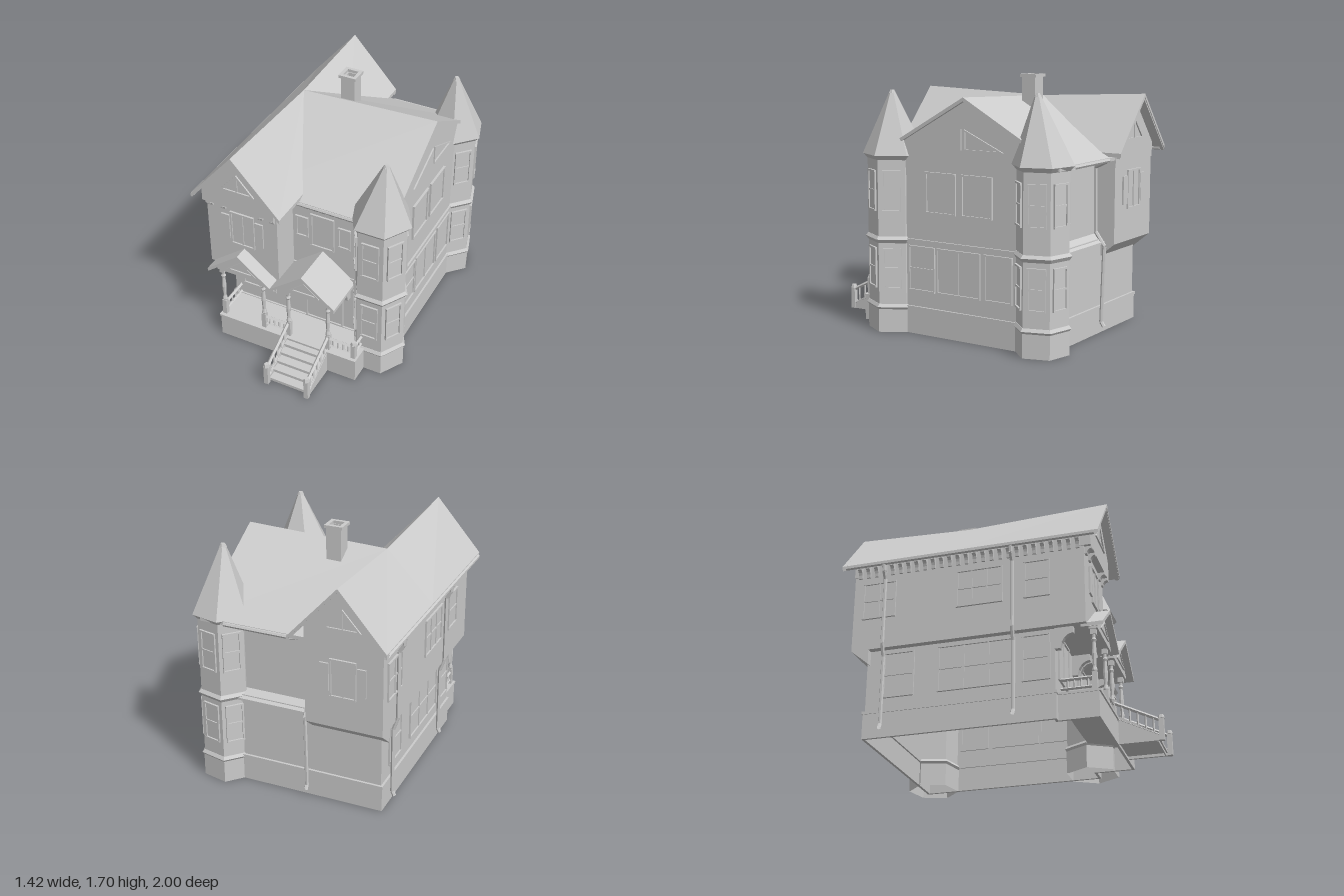
import * as THREE from 'three';

const mat = new THREE.MeshStandardMaterial({ color: 0xcccccc, flatShading: true });
const thin = new THREE.MeshStandardMaterial({ color: 0xcccccc, flatShading: true, side: THREE.DoubleSide });

export function createModel() {
  const house = new THREE.Group();
  house.name = 'house';

  const add = (name, geo, parent = house, m = mat) => {
    const mesh = new THREE.Mesh(geo, m);
    mesh.name = name;
    parent.add(mesh);
    return mesh;
  };
  // Box given by its extents
  const box = (name, x0, x1, y0, y1, z0, z1, parent) =>
    add(name, new THREE.BoxGeometry(x1 - x0, y1 - y0, z1 - z0)
      .translate((x0 + x1) / 2, (y0 + y1) / 2, (z0 + z1) / 2), parent);
  const shapeOf = pts => new THREE.Shape(pts.map(p => new THREE.Vector2(...p)));
  // Profile (x, y) swept from z0 to z1; alongX turns it so the profile is (-z, y)
  const prism = (name, pts, z0, z1, alongX = false) => {
    const g = new THREE.ExtrudeGeometry(shapeOf(pts), { depth: z1 - z0, bevelEnabled: false }).translate(0, 0, z0);
    if (alongX) g.rotateY(Math.PI / 2);
    return add(name, g);
  };
  // Hollow rectangular wall, open above and below
  const ringWall = (name, x0, x1, z0, z1, y0, y1, t = 0.02) => {
    const rect = d => [[x0 + d, -z1 + d], [x1 - d, -z1 + d], [x1 - d, -z0 - d], [x0 + d, -z0 - d]];
    const s = shapeOf(rect(0));
    s.holes.push(shapeOf(rect(t)));
    return add(name, new THREE.ExtrudeGeometry(s, { depth: y1 - y0, bevelEnabled: false })
      .rotateX(-Math.PI / 2).translate(0, y0, 0));
  };
  // Gabled roof slab through sections {z, l:[x,y], r:[x,y], top:[x,y]}
  const gableRoof = (name, sections, t, alongX = false) => {
    const pos = [], idx = [], n = sections.length - 1;
    for (const { z, l, r, top } of sections)
      for (const [p, d] of [[l, 0], [top, 0], [r, 0], [r, t], [top, t], [l, t]]) pos.push(p[0], p[1] - d, z);
    const quad = (a, b, c, d) => idx.push(a, b, c, a, c, d);
    for (let s = 0; s < n; s++)
      for (let i = 0; i < 6; i++) {
        const j = (i + 1) % 6, b = s * 6, f = b + 6;
        quad(b + i, f + i, f + j, b + j);
      }
    const f = n * 6;
    quad(f + 5, f + 4, f + 1, f); quad(f + 4, f + 3, f + 2, f + 1);
    quad(0, 1, 4, 5); quad(1, 2, 3, 4);
    const g = new THREE.BufferGeometry();
    g.setAttribute('position', new THREE.Float32BufferAttribute(pos, 3));
    g.setIndex(idx);
    if (alongX) g.rotateY(Math.PI / 2);
    const flat = g.toNonIndexed();
    flat.computeVertexNormals();
    return add(name, flat, house, thin);
  };
  // Framed window facing local +z
  const windowAt = (name, x, y, z, w, h, ry = 0, { cols = 1, rail = false, shutters = 0 } = {}) => {
    const g = new THREE.Group(), b = 0.012, u = w / 2, v = h / 2;
    g.name = name;
    g.position.set(x, y, z);
    g.rotation.y = ry;
    box('pane', -u, u, -v, v, -0.024, 0.003, g);
    for (const s of [-1, 1]) {
      box('jamb', s * u - b / 2, s * u + b / 2, -v, v, -0.03, 0.012, g);
      box('sill', -u - b / 2, u + b / 2, s * v - b / 2, s * v + b / 2, -0.03, 0.014, g);
      if (shutters) box('shutter', s * (u + 0.042) - 0.03, s * (u + 0.042) + 0.03, -shutters / 2, shutters / 2, -0.01, 0.012, g);
    }
    for (let i = 1; i < cols; i++) box('mullion', -u + i * w / cols - 0.006, -u + i * w / cols + 0.006, -v, v, -0.02, 0.01, g);
    if (rail) box('meetingRail', -u, u, -0.006, 0.006, -0.02, 0.01, g);
    house.add(g);
  };
  // Curved bracket under an overhang, top at y, growing along local +z
  const bracket = (x, y, z, w, h, d, ry = 0) => {
    const s = new THREE.Shape().moveTo(0, 0).lineTo(0, -h).lineTo(-d * 0.3, -h)
      .quadraticCurveTo(-d * 0.4, -h * 0.35, -d, -h * 0.3).lineTo(-d, 0);
    const g = new THREE.ExtrudeGeometry(s, { depth: w, bevelEnabled: false, curveSegments: 4 })
      .translate(0, 0, -w / 2).rotateY(Math.PI / 2).rotateY(ry).translate(x, y, z);
    add('bracket', g);
  };
  const bar = (name, a, b, r, sides = 4) => add(name, new THREE.TubeGeometry(
    new THREE.LineCurve3(new THREE.Vector3(...a), new THREE.Vector3(...b)), 1, r, sides), house, thin);

  // Ground floor walls and trim; the plinth is open towards the porch
  ringWall('lowerWalls', -0.605, 0.57, -0.82, 0.43, 0.165, 0.62);
  box('leftPlinth', -0.615, -0.597, 0, 0.165, -0.83, 0.437);
  box('rightPlinth', 0.56, 0.578, 0, 0.165, -0.83, 0.437);
  box('backPlinth', -0.597, 0.56, 0, 0.165, -0.83, -0.812);
  box('frontPlinthLeft', -0.597, -0.557, 0, 0.165, 0.419, 0.437);
  box('frontPlinthRight', 0.442, 0.56, 0, 0.165, 0.419, 0.437);
  ringWall('waterTable', -0.62, 0.583, -0.836, 0.443, 0.165, 0.185, 0.03);
  ringWall('floorBand', -0.615, 0.583, -0.83, 0.44, 0.61, 0.635, 0.03);

  // Upper floor: cross block and projecting wing, with their gables
  prism('crossBlock', [[-0.43, 0.6], [0.78, 0.6], [0.78, 1.2], [0.22, 1.505], [-0.43, 1.17]], -0.3, 0.57, true);
  prism('crossGable', [[-0.43, 1.1], [0.78, 1.1], [0.78, 1.232], [0.22, 1.547], [-0.43, 1.183]], 0.54, 0.575, true);
  prism('wingBlock', [[-0.65, 0.6], [-0.13, 0.6], [-0.13, 1.25], [-0.385, 1.51], [-0.65, 1.22]], -0.92, 0.64);
  const gable = [[-0.655, 1.135], [-0.13, 1.135], [-0.13, 1.268], [-0.385, 1.543], [-0.655, 1.235]];
  prism('frontGable', gable, 0.6, 0.685);
  prism('backGable', gable, -0.925, -0.88);
  prism('wingUnderside', [[0.8, 0.5], [0.92, 0.6], [0.8, 0.6]], -0.65, -0.13, true);
  prism('backPent', [[0.77, 0.6], [0.85, 0.6], [0.85, 0.615], [0.77, 0.67]], -0.13, 0.42, true);

  // Main roofs, with a slight sag in the ridge
  const wing = (z, y) => ({ z, l: [-0.7, 1.21], r: [-0.05, 1.21], top: [-0.385, y] });
  gableRoof('wingRoof', [wing(-1, 1.575), wing(-0.22, 1.54), wing(0.745, 1.575)], 0.025);
  for (const z of [-0.995, 0.715]) gableRoof('bargeBoard', [wing(z, 1.57), wing(z + 0.025, 1.57)], 0.035);
  const cross = (z, y) => ({ z, l: [-0.48, 1.18], r: [0.92, 1.18], top: [0.22, y] });
  gableRoof('crossRoof', [cross(-0.385, 1.54), cross(0.59, 1.575)], 0.025, true);

  // Gable windows
  const triangle = (pts, depth, hole) => {
    const s = shapeOf(pts);
    s.holes.push(shapeOf(hole));
    return new THREE.ExtrudeGeometry(s, { depth, bevelEnabled: false });
  };
  const wingTri = triangle([[-0.125, 0], [0.125, 0], [0, 0.14]], 0.02, [[-0.1, 0.01], [0.1, 0.01], [0, 0.122]]);
  add('frontGableWindow', wingTri.clone().translate(-0.385, 1.275, 0.675));
  box('frontGableMullion', -0.39, -0.38, 1.28, 1.4, 0.67, 0.692);
  add('backGableWindow', wingTri.clone().rotateY(Math.PI).translate(-0.385, 1.275, -0.915));
  box('backGableMullion', -0.39, -0.38, 1.28, 1.4, -0.932, -0.91);
  for (const s of [-1, 1]) {
    const p = [[0.01, 0], [0.31, 0], [0.01, 0.135]], h = [[0.02, 0.008], [0.275, 0.008], [0.02, 0.12]];
    const m = a => a.map(([x, y]) => [s * x, y]);
    add('sideGableWindow', triangle(m(p), 0.015, m(h)).rotateY(Math.PI / 2).translate(0.57, 1.24, -0.21));
  }

  // Chimney with an open flue
  ringWall('chimney', -0.132, -0.03, -0.37, -0.27, 1.35, 1.68, 0.018);
  ringWall('chimneyCap', -0.145, -0.02, -0.382, -0.26, 1.68, 1.7, 0.024);
  box('flueFloor', -0.12, -0.045, 1.58, 1.6, -0.36, -0.28);

  // Six-sided corner turrets of radius r
  const turret = (cx, cz, r, turn, topX, topZ, topY, faces) => {
    const start = Math.PI / 2 - turn;
    const hex = (name, r0, r1, y0, y1, open = false) => add(name,
      new THREE.CylinderGeometry(r + r1, r + r0, y1 - y0, 6, 1, open, start).translate(cx, (y0 + y1) / 2, cz), house, open ? thin : mat);
    hex('turretWall', 0, 0, 0, 1.18, true);
    hex('turretPlinth', 0.006, 0.006, 0, 0.165, true);
    hex('turretTrim', 0.006, 0.018, 0.155, 0.17); hex('turretTrim', 0.018, 0.003, 0.17, 0.19);
    hex('turretBand', 0.002, 0.02, 0.6, 0.625); hex('turretBand', 0.02, 0.002, 0.625, 0.645);
    hex('turretCornice', 0.002, 0.028, 1.15, 1.18);
    const roof = hex('turretRoof', 0.031, 0.018 - r, 1.18, topY), p = roof.geometry.attributes.position;
    for (let i = 0; i < p.count; i++)
      if (p.getY(i) > topY - 0.01) p.setXYZ(i, p.getX(i) + topX - cx, topY, p.getZ(i) + topZ - cz);
    add('turretFinial', new THREE.CylinderGeometry(0.014, 0.024, 0.022, 6).translate(topX, topY, topZ));
    for (const deg of faces) {
      const a = deg * Math.PI / 180, d = r * 0.866;
      for (const y of [0.43, 0.945])
        windowAt('turretWindow', cx + d * Math.cos(a), y, cz + d * Math.sin(a), 0.11, 0.26, Math.PI / 2 - a, { rail: true });
    }
  };
  turret(0.493, 0.4, 0.18, 0, 0.515, 0.395, 1.59, [-30, 30, 90, 150]);
  turret(0.515, -0.762, 0.17, 13 * Math.PI / 180, 0.515, -0.722, 1.605, [43, -17, -77, -137]);

  // Windows: front and back of the wing, then centre, right and left walls
  windowAt('wingWindow', -0.387, 0.945, 0.64, 0.165, 0.25, 0, { cols: 2, shutters: 0.19 });
  windowAt('wingWindow', -0.387, 0.945, -0.92, 0.165, 0.25, Math.PI, { cols: 2, shutters: 0.19 });
  windowAt('centreWindow', 0.09, 0.945, 0.43, 0.16, 0.25);
  for (const x of [-0.06, 0.25]) windowAt('smallWindow', x, 0.95, 0.43, 0.08, 0.15);
  windowAt('porchWindow', -0.405, 0.44, 0.43, 0.25, 0.3, 0, { cols: 2 });
  windowAt('frontDoor', 0.1, 0.39, 0.43, 0.27, 0.41);
  const R = Math.PI / 2;
  windowAt('sideWindow', 0.57, 0.44, 0.12, 0.2, 0.29, R, { rail: true });
  windowAt('sideWindow', 0.57, 0.44, -0.17, 0.33, 0.29, R, { cols: 2 });
  windowAt('sideWindow', 0.57, 0.44, -0.475, 0.2, 0.29, R);
  for (const z of [-0.035, -0.315]) windowAt('sideWindow', 0.572, 0.95, z, 0.225, 0.26, R);
  for (const [z, w, c] of [[-0.74, 0.22, 2], [-0.05, 0.3, 3], [0.33, 0.16, 1]])
    windowAt('leftUpperWindow', -0.65, 0.945, z, w, 0.25, -R, { cols: c, rail: true });
  for (const [z, w, c] of [[-0.6, 0.2, 1], [-0.08, 0.5, 3], [0.31, 0.17, 1]])
    windowAt('leftLowerWindow', -0.605, 0.42, z, w, 0.3, -R, { cols: c, rail: true });

  // Brackets under the eaves and the wing overhang
  for (const x of [-0.615, -0.52, -0.245, -0.16]) bracket(x, 1.135, 0.64, 0.035, 0.05, 0.045);
  for (let i = 0; i < 6; i++) bracket(-0.02 + i * 0.06, 1.155, 0.43, 0.03, 0.045, 0.04);
  for (let i = 0; i < 27; i++) bracket(-0.65, 1.2, -0.88 + i * 0.057, 0.025, 0.08, 0.04, -R);
  for (const x of [-0.595, -0.155, -0.105, 0.275]) bracket(x, 0.6, 0.43, 0.035, 0.14, 0.12);

  // Porch platform, open behind, and two gabled porch roofs
  box('porchFront', -0.575, 0.46, 0, 0.165, 0.677, 0.695);
  for (const x of [-0.575, 0.442]) box('porchSide', x, x + 0.018, 0, 0.165, 0.42, 0.677);
  box('porchFloor', -0.58, 0.465, 0.165, 0.18, 0.42, 0.705);
  for (const [cx, z0] of [[-0.385, 0.6], [0.09, 0.43]]) {
    const s = z => ({ z, l: [cx - 0.237, 0.607], r: [cx + 0.237, 0.607], top: [cx, 0.79] });
    gableRoof('porchRoof', [s(z0), s(0.74)], 0.025);
    prism('pediment', [[cx - 0.195, 0.6], [cx + 0.195, 0.6], [cx, 0.765]], z0, 0.695);
    add('pedimentPanel', triangle([[-0.11, 0], [0.11, 0], [0, 0.09]], 0.012, [[-0.085, 0.01], [0.085, 0.01], [0, 0.078]])
      .translate(cx, 0.62, 0.692));
    box('porchBeam', cx - 0.19, cx + 0.19, 0.585, 0.61, 0.64, 0.695);
  }

  // Turned porch posts
  const profile = [[0.012, 0.29], [0.018, 0.31], [0.011, 0.34], [0.016, 0.42], [0.011, 0.5], [0.018, 0.515], [0.011, 0.53], [0.013, 0.585]];
  for (const x of [-0.55, -0.24, -0.05, 0.245]) {
    box('postBase', x - 0.016, x + 0.016, 0.18, 0.3, 0.649, 0.681);
    add('turnedPost', new THREE.LatheGeometry(profile.map(p => new THREE.Vector2(...p)), 8).translate(x, 0, 0.665), house, thin);
    box('postCap', x - 0.018, x + 0.018, 0.55, 0.59, 0.647, 0.683);
  }

  // Railings with balusters
  const railing = (a, b, low, high, n, y0 = 0, y1 = 0) => {
    bar('rail', [a[0], y0 + low, a[1]], [b[0], y1 + low, b[1]], 0.01);
    bar('rail', [a[0], y0 + high, a[1]], [b[0], y1 + high, b[1]], 0.012);
    for (let i = 1; i <= n; i++) {
      const t = i / (n + 1), x = a[0] + (b[0] - a[0]) * t, z = a[1] + (b[1] - a[1]) * t, y = y0 + (y1 - y0) * t;
      bar('baluster', [x, y + low, z], [x, y + high, z], 0.007);
    }
  };
  railing([-0.24, 0.665], [-0.05, 0.665], 0.21, 0.27, 4);
  railing([0.245, 0.665], [0.435, 0.665], 0.21, 0.27, 4);
  railing([0.435, 0.665], [0.435, 0.45], 0.21, 0.27, 4);
  railing([-0.55, 0.665], [-0.55, 0.45], 0.21, 0.27, 4);
  const newel = (x, y0, y1, z) => {
    box('newelPost', x - 0.016, x + 0.016, y0, y1 - 0.02, z - 0.016, z + 0.016);
    add('newelCap', new THREE.CylinderGeometry(0.016, 0.023, 0.024, 6).translate(x, y1 - 0.012, z));
  };
  newel(0.435, 0.18, 0.315, 0.665);

  // Front steps with sloping side railings
  for (let i = 0; i < 5; i++) {
    box('step', -0.045, 0.235, 0.15 - i * 0.033, 0.165 - i * 0.033, 0.69, 0.75 + i * 0.052);
    box('riser', -0.045, 0.235, Math.max(0, 0.118 - i * 0.033), 0.155 - i * 0.033, 0.732 + i * 0.052, 0.74 + i * 0.052);
  }
  for (const x of [-0.055, 0.245]) {
    newel(x, 0, 0.172, 0.975);
    prism('stringer', [[-0.97, 0], [-0.7, 0], [-0.7, 0.18], [-0.72, 0.18], [-0.97, 0.035]], x - 0.008, x + 0.008, true);
    railing([x, 0.975], [x, 0.675], 0.03, 0.135, 5, 0, 0.15);
  }

  // Gutters and downpipes
  bar('leftGutter', [-0.7, 1.19, -0.97], [-0.7, 1.19, 0.72], 0.014, 6);
  bar('frontGutter', [-0.1, 1.165, 0.48], [0.36, 1.165, 0.48], 0.014, 6);
  bar('backGutter', [-0.03, 1.165, -0.925], [0.42, 1.165, -0.925], 0.014, 6);
  const pipe = pts => pts.slice(1).forEach((p, i) => bar('downpipe', pts[i], p, 0.013, 6));
  for (const z of [-0.7, 0.17])
    pipe([[-0.7, 1.18, z], [-0.695, 1.14, z], [-0.664, 1.09, z], [-0.664, 0.63, z], [-0.635, 0.54, z], [-0.635, 0.08, z], [-0.65, 0.05, z]]);
  pipe([[-0.02, 1.16, -0.92], [-0.09, 1.11, -0.8], [-0.1, 0.68, -0.8], [-0.1, 0.59, -0.865], [-0.1, 0.08, -0.85], [-0.1, 0.05, -0.87]]);

  return house;
}
